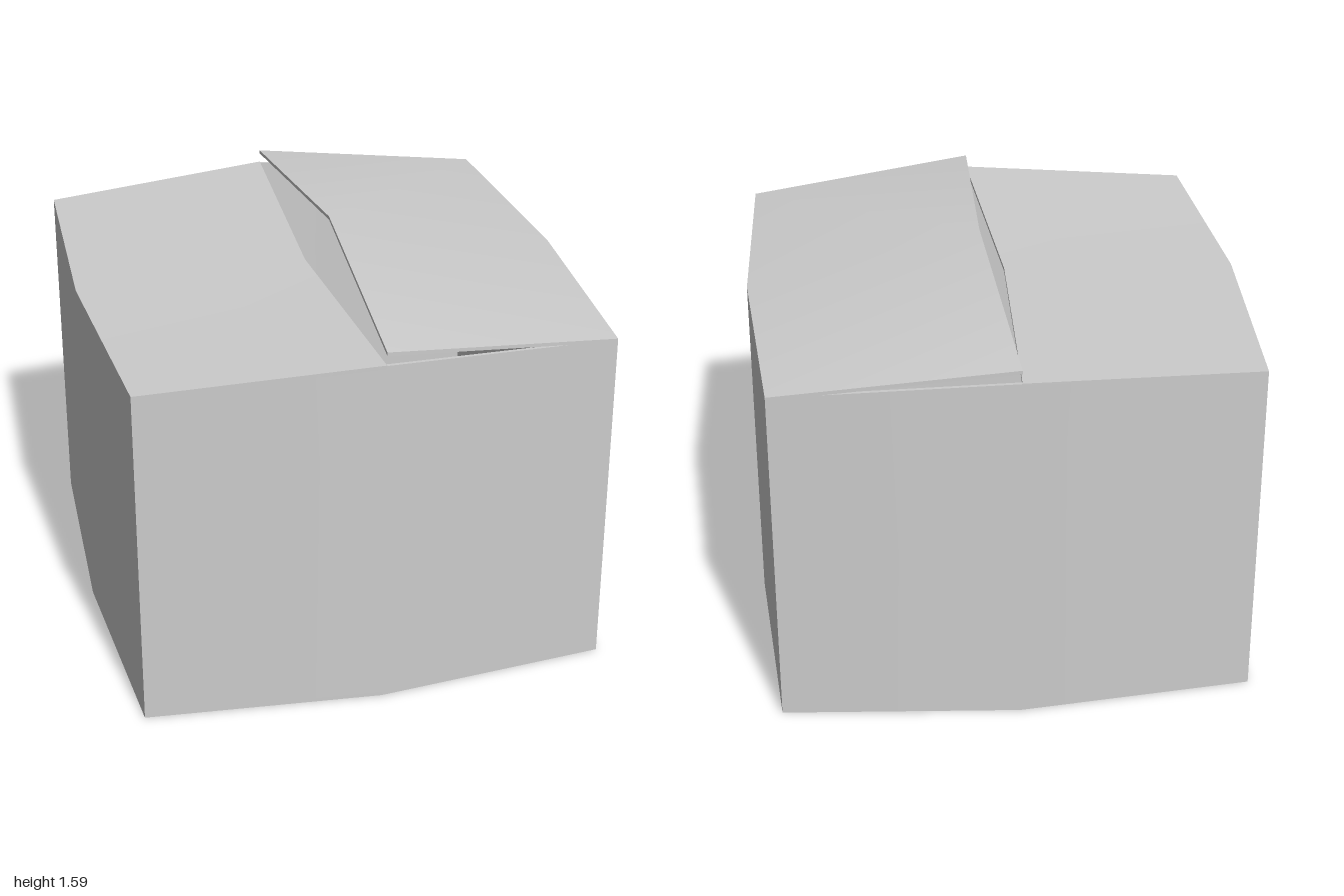
import * as THREE from 'three';

const cardboard = new THREE.MeshStandardMaterial({ color: 0xcccccc, side: THREE.DoubleSide });
cardboard.name = 'plain grey card';

const THICK = 0.014; // card thickness
const CX = 0.915, CZ = 0.915; // corners
const MX = 0.965, MZ = 1.0; // bowed middles of the sides
const RIM = 1.385, PEAK = 1.434;

// Part of a sheet with its own smooth normals
function facet(points, indices, name) {
  const g = new THREE.BufferGeometry();
  g.setAttribute('position', new THREE.Float32BufferAttribute(points.flat(), 3));
  g.setIndex(indices);
  g.computeVertexNormals();
  const mesh = new THREE.Mesh(g, cardboard);
  mesh.name = name;
  return mesh;
}

// Creased card sheet between two three-point edges, thickened by an offset
function sheet(name, edgeA, edgeB, offset) {
  const group = new THREE.Group();
  group.name = name;
  const outer = [...edgeA, ...edgeB];
  const inner = outer.map((p) => p.map((v, i) => v + offset[i]));
  const tris = [0, 1, 4, 0, 4, 3, 1, 2, 4, 2, 5, 4];
  group.add(facet(outer, tris, 'outerFace'));
  group.add(facet(inner, [...tris].reverse(), 'innerFace'));
  const loop = [0, 1, 2, 5, 4, 3];
  loop.forEach((a, i) => {
    const b = loop[(i + 1) % loop.length];
    group.add(facet([outer[a], inner[a], inner[b], outer[b]], [0, 1, 2, 0, 2, 3], 'cutEdge'));
  });
  return group;
}

export function createModel() {
  const model = new THREE.Group();
  model.name = 'openBox';

  // Bowed walls: one front and one side, each repeated by a half turn
  for (const [turn, front, side] of [[0, 'frontWall', 'leftWall'], [Math.PI, 'backWall', 'rightWall']]) {
    const frontWall = sheet(front,
      [[-CX, 0, CZ], [0, 0, MZ], [CX, 0, CZ]],
      [[-CX, RIM, CZ], [0, PEAK, MZ], [CX, RIM, CZ]], [0, 0, -THICK]);
    const sideWall = sheet(side,
      [[CX, 0, CZ], [MX, 0, 0], [CX, 0, -CZ]],
      [[CX, RIM, CZ], [MX, RIM, 0], [CX, RIM, -CZ]], [-THICK, 0, 0]);
    frontWall.rotation.y = sideWall.rotation.y = turn;
    model.add(frontWall, sideWall);
  }

  // Flat base following the bowed outline
  const outline = [[-CX, CZ], [0, MZ], [CX, CZ], [MX, 0], [CX, -CZ], [0, -MZ], [-CX, -CZ], [-MX, 0]];
  const base = new THREE.ExtrudeGeometry(
    new THREE.Shape(outline.map(([x, z]) => new THREE.Vector2(x, -z))),
    { depth: THICK, bevelEnabled: false });
  base.rotateX(-Math.PI / 2);
  const baseMesh = new THREE.Mesh(base, cardboard);
  baseMesh.name = 'base';
  model.add(baseMesh);

  // Raised flap
  model.add(sheet('raisedFlap',
    [[CX, RIM + 0.003, CZ], [MX, RIM + 0.003, 0], [CX, RIM + 0.003, -CZ]],
    [[0, 1.488, MZ], [0.048, 1.59, 0], [0, 1.488, -MZ]], [0, -THICK, 0]));

  // Closed flap, resting on the rim
  model.add(sheet('closedFlap',
    [[-CX, RIM + 0.002, -CZ], [-MX, RIM + 0.002, 0], [-CX, RIM + 0.002, CZ]],
    [[0, PEAK + 0.002, -MZ], [-0.05, 1.417, 0], [0, PEAK + 0.002, MZ]], [0, -THICK, 0]));

  return model;
}
